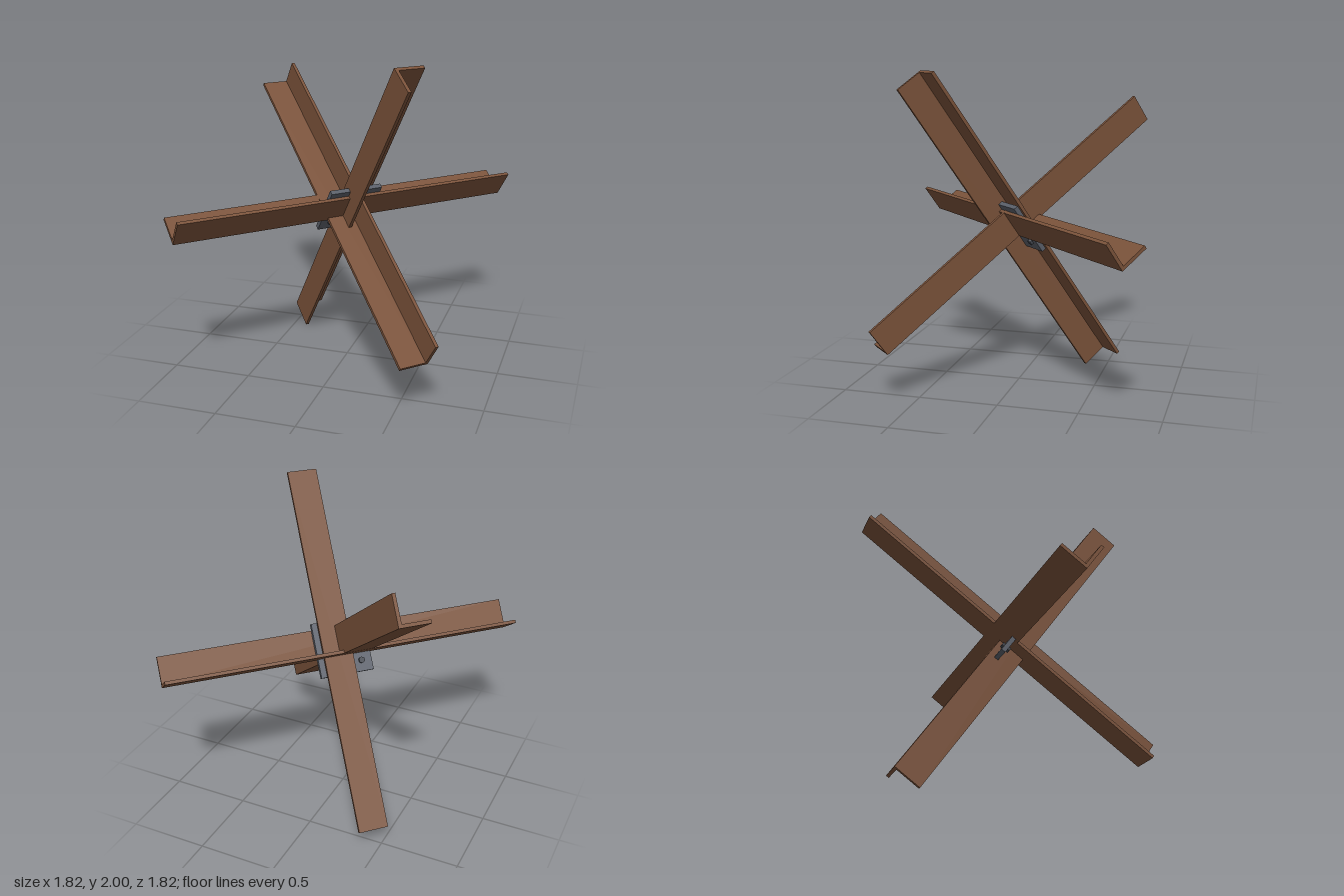
import * as THREE from 'three';

const LENGTH = 2.31, LEG = 0.19, WALL = 0.021;

export function createModel() {
  const rust = new THREE.MeshStandardMaterial({ color: 0x7a523a });
  rust.name = 'rusty brown';
  const steel = new THREE.MeshStandardMaterial({ color: 0x5a5f69 });
  steel.name = 'steel grey';
  const dark = new THREE.MeshStandardMaterial({ color: 0x42464e });
  dark.name = 'dark bolt grey';

  // L-shaped steel angle section, corner at the origin
  const section = new THREE.Shape([
    [0, 0], [LEG, 0], [LEG, WALL], [WALL, WALL], [WALL, LEG], [0, LEG],
  ].map(([x, y]) => new THREE.Vector2(x, y)));
  const beamGeometry = new THREE.ExtrudeGeometry(section, { depth: LENGTH, bevelEnabled: false });
  beamGeometry.translate(0, 0, -LENGTH / 2);

  // Three beams at right angles, tilted as one frame
  const frame = new THREE.Group();
  frame.name = 'obstacleFrame';
  const e1 = new THREE.Vector3(1, 0, -1).normalize();
  const e2 = new THREE.Vector3(1, 2, 1).normalize();
  const e3 = new THREE.Vector3(1, -1, 1).normalize();
  frame.quaternion.setFromRotationMatrix(new THREE.Matrix4().makeBasis(e1, e2, e3));
  frame.position.y = 1;

  // Each beam: directions of its two legs and its length, then its middle corner
  const v = (x, y, z) => new THREE.Vector3(x, y, z);
  const beams = [
    ['levelBeam', v(0, 0, -1), v(0, 1, 0), v(1, 0, 0), v(0, -0.019, 0.038)],
    ['steepBeam', v(0, 0, 1), v(1, 0, 0), v(0, 1, 0), v(-0.047, 0.031, -0.056)],
    ['slantedBeam', v(0, 1, 0), v(-1, 0, 0), v(0, 0, 1), v(0.039, -0.018, -0.01)],
  ];
  for (const [name, legA, legB, along, corner] of beams) {
    const beam = new THREE.Mesh(beamGeometry, rust);
    beam.name = name;
    beam.quaternion.setFromRotationMatrix(new THREE.Matrix4().makeBasis(legA, legB, along));
    beam.position.copy(corner);
    frame.add(beam);
  }

  // Square gusset plate through the joint, with a bolt near each corner
  const joint = new THREE.Group();
  joint.name = 'joint';
  joint.position.set(0, 0.035, 0);
  const plate = new THREE.Mesh(new THREE.BoxGeometry(0.35, 0.35, 0.03), steel);
  plate.name = 'gussetPlate';
  joint.add(plate);
  const boltGeometry = new THREE.CylinderGeometry(0.021, 0.021, 0.06, 6).toNonIndexed();
  boltGeometry.computeVertexNormals();
  boltGeometry.rotateX(Math.PI / 2);
  for (const x of [-0.105, 0.105]) {
    for (const y of [-0.105, 0.105]) {
      const bolt = new THREE.Mesh(boltGeometry, dark);
      bolt.name = 'bolt';
      bolt.position.set(x, y, 0);
      joint.add(bolt);
    }
  }
  frame.add(joint);

  const model = new THREE.Group();
  model.name = 'antiTankObstacle';
  model.add(frame);
  return model;
}
